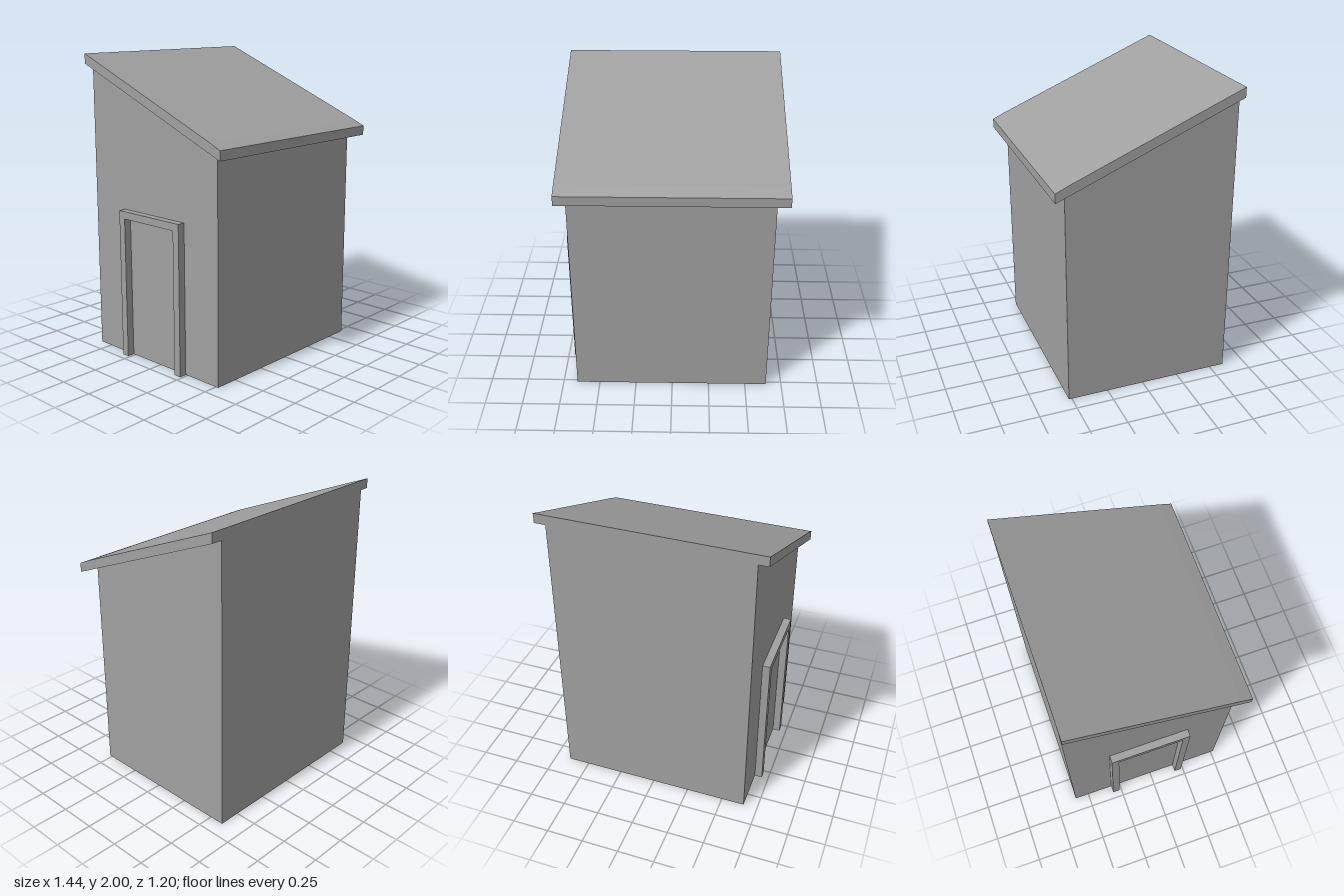
import * as THREE from 'three';

const grey = new THREE.MeshStandardMaterial({ color: 0xa0a0a0 });
grey.name = 'grey';

// Extrudes a side profile of [z, y] points from x0 to x1.
function profileMesh(name, points, x0, x1) {
  const shape = new THREE.Shape(points.map(([z, y]) => new THREE.Vector2(-z, y)));
  const geometry = new THREE.ExtrudeGeometry(shape, { depth: x1 - x0, bevelEnabled: false });
  geometry.rotateY(Math.PI / 2).translate(x0, 0, 0);
  const mesh = new THREE.Mesh(geometry, grey);
  mesh.name = name;
  return mesh;
}

export function createModel() {
  const model = new THREE.Group();
  model.name = 'shed';

  // Walls with a sloping top, tall at the back
  model.add(profileMesh('walls', [[0.52, 0], [-0.6, 0], [-0.6, 1.935], [0.52, 1.468]], -0.655, 0.645));

  // Single-pitch roof slab, overhanging the front and both sides
  model.add(profileMesh('roof', [
    [0.6, 1.435], [0.6, 1.497], [0.52, 1.534], [-0.6, 2], [-0.6, 1.935], [0.52, 1.468],
  ], -0.72, 0.72));

  // Door frame on the right wall: two posts joined by a lintel
  const t = 0.05, back = -0.315, front = 0.235, top = 1;
  model.add(profileMesh('doorFrame', [
    [back, 0], [back, top], [front, top], [front, 0],
    [front - t, 0], [front - t, top - t], [back + t, top - t], [back + t, 0],
  ], -0.705, -0.655));

  return model;
}
